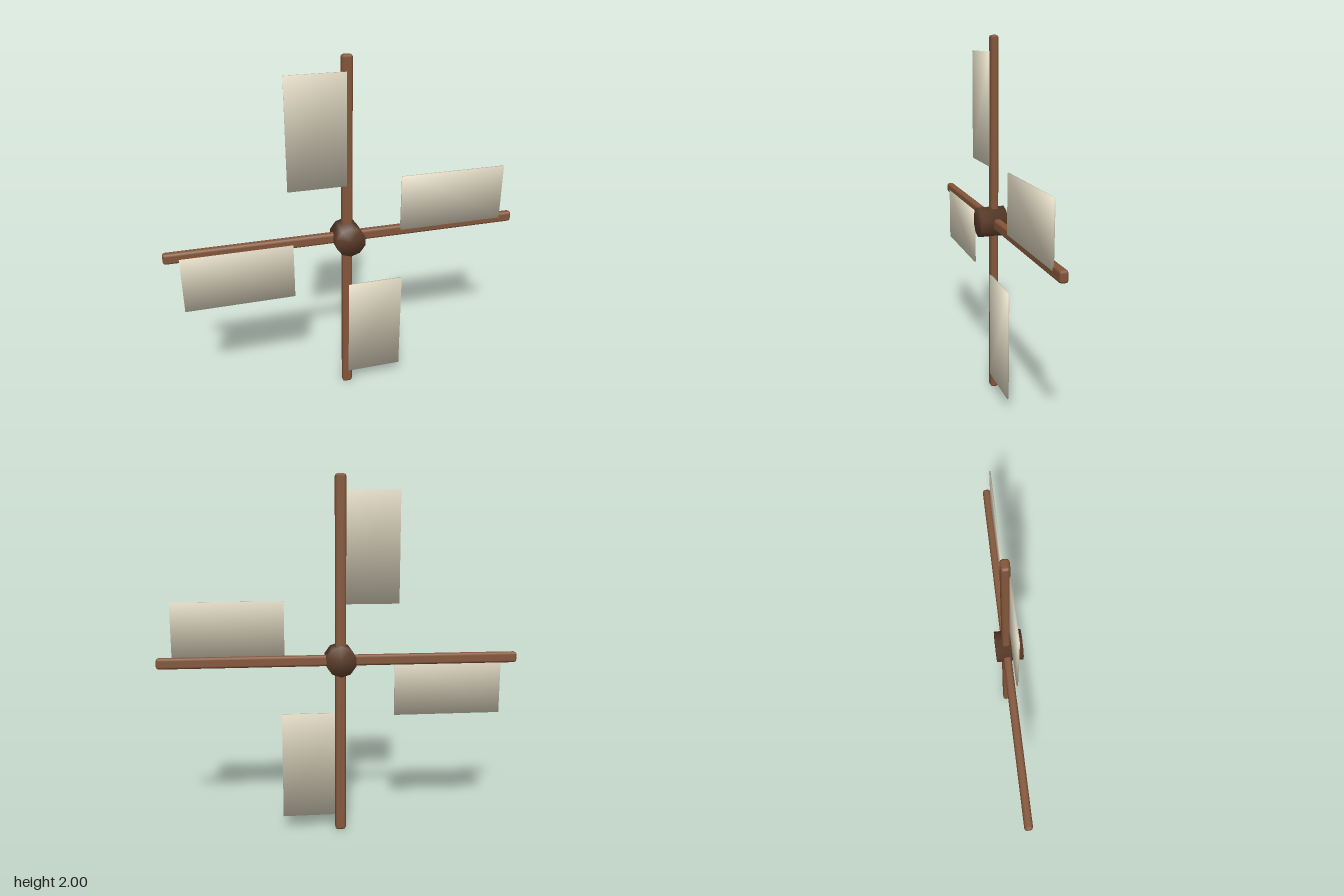
import * as THREE from 'three';
import { RoundedBoxGeometry } from 'three/addons/geometries/RoundedBoxGeometry.js';

const wood = new THREE.MeshStandardMaterial({ color: 0x84563a });
const darkWood = new THREE.MeshStandardMaterial({ color: 0x5c3d2a });
const cloth = new THREE.MeshStandardMaterial({ color: 0xe2dac4 });

// Blend normals across the edges of a centred solid with half sizes hx, hy, hz
function softenNormals(geometry, hx, hy, hz) {
  const p = geometry.attributes.position;
  const n = new THREE.Vector3();
  for (let i = 0; i < p.count; i++) {
    n.set(p.getX(i) / hx, p.getY(i) / hy, p.getZ(i) / hz).normalize();
    geometry.attributes.normal.setXYZ(i, n.x, n.y, n.z);
  }
  return geometry;
}

function part(name, geometry, material) {
  const mesh = new THREE.Mesh(geometry, material);
  mesh.name = name;
  return mesh;
}

export function createModel() {
  const model = new THREE.Group();
  model.name = 'windmillSails';

  // Wheel centre
  const wheel = new THREE.Group();
  wheel.name = 'wheel';
  wheel.position.y = 1;
  model.add(wheel);

  // Ten-sided hub along z, with a corner at the top
  const hub = new THREE.CylinderGeometry(0.085, 0.085, 0.148, 10).rotateX(Math.PI / 2);
  wheel.add(part('hub', softenNormals(hub, 0.085, 0.085, 0.074), darkWood));

  // Two crossed spars with chamfered edges
  const sparGeometry = new RoundedBoxGeometry(0.06, 2, 0.044, 1, 0.014);
  ['verticalSpar', 'horizontalSpar'].forEach((name, i) => {
    const spar = part(name, sparGeometry, wood);
    spar.position.z = -0.016;
    spar.rotation.z = i * Math.PI / 2;
    wheel.add(spar);
  });

  // Four thin cloth panels, each on the same side of its arm
  const sailGeometry = softenNormals(new THREE.BoxGeometry(0.322, 0.61, 0.008), 0.161, 0.305, 0.004);
  ['topSail', 'rightSail', 'bottomSail', 'leftSail'].forEach((name, i) => {
    const arm = new THREE.Group();
    arm.name = name + 'Arm';
    arm.rotation.z = i * Math.PI / 2;
    const sail = part(name, sailGeometry, cloth);
    sail.position.set(-0.167, 0.613, 0.004);
    arm.add(sail);
    wheel.add(arm);
  });

  return model;
}
